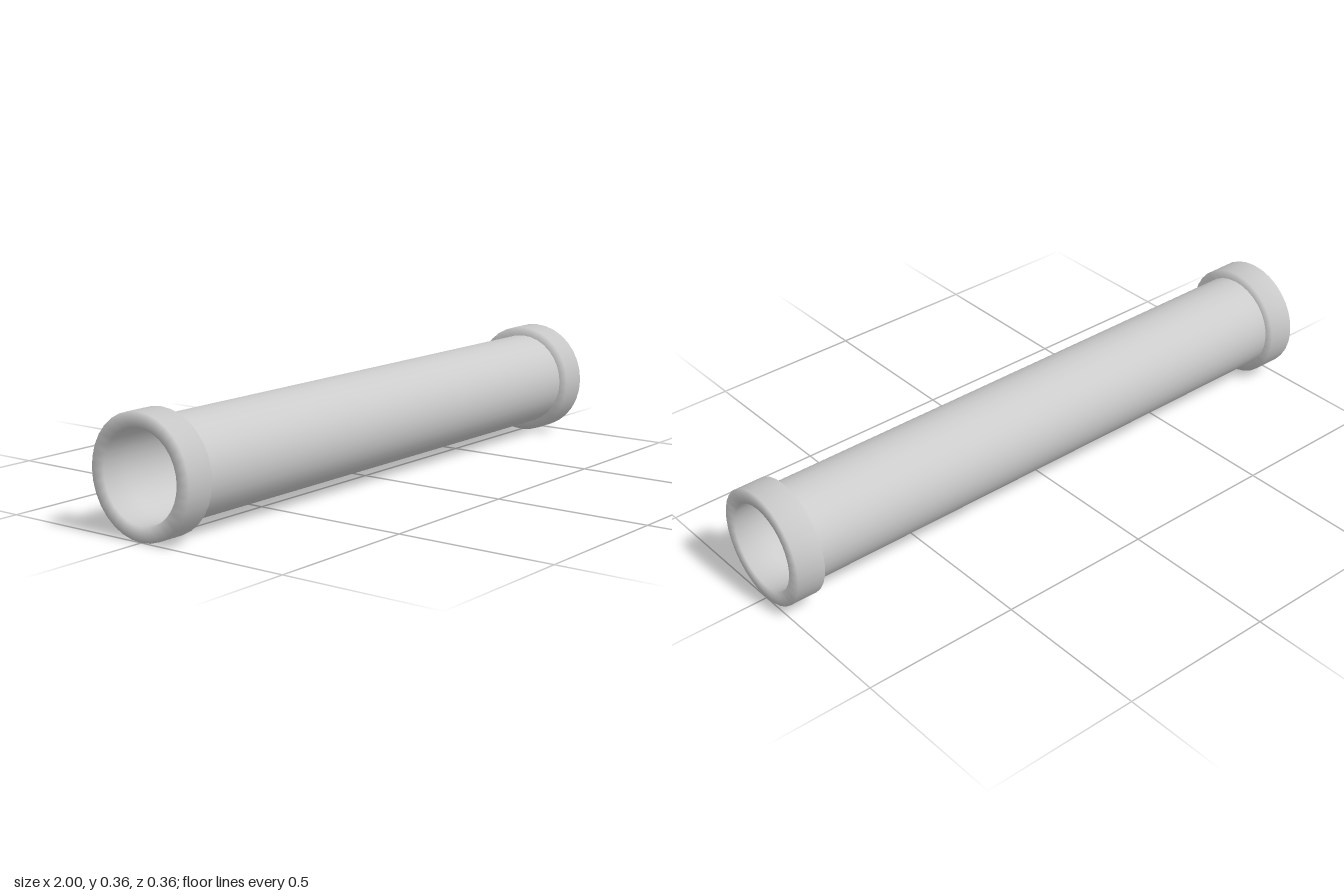
import * as THREE from 'three';

const SIDES = 32;
const OUTER = 0.153, INNER = 0.137, COLLAR = 0.182;
const END = 1, COLLAR_START = 0.91;

const material = new THREE.MeshStandardMaterial({ color: 0xcccccc });

// Turns a profile of [radius, position along the axis] pairs
function turned(name, profile) {
  const points = profile.map(([r, h]) => new THREE.Vector2(r, h));
  const mesh = new THREE.Mesh(new THREE.LatheGeometry(points, SIDES), material);
  mesh.name = name;
  return mesh;
}

export function createModel() {
  const model = new THREE.Group();
  model.name = 'pipe';

  // Hollow tube: outer wall faces out, bore faces in
  const tube = new THREE.Group();
  tube.name = 'tube';
  tube.add(
    turned('outerWall', [[OUTER, -COLLAR_START], [OUTER, COLLAR_START]]),
    turned('bore', [[INNER, COLLAR_START], [INNER, -COLLAR_START]])
  );
  tube.rotation.z = -Math.PI / 2;
  model.add(tube);

  // Thick collar at each end, smoothly shaded over its edges
  for (const side of [1, -1]) {
    const collar = turned(side > 0 ? 'leftCollar' : 'rightCollar', [
      [INNER, COLLAR_START], [COLLAR, COLLAR_START],
      [COLLAR, END], [INNER, END], [INNER, COLLAR_START]
    ]);
    collar.rotation.z = -side * Math.PI / 2;
    model.add(collar);
  }

  // Rest the collars on the ground
  model.children.forEach((part) => { part.position.y = COLLAR; });
  return model;
}
